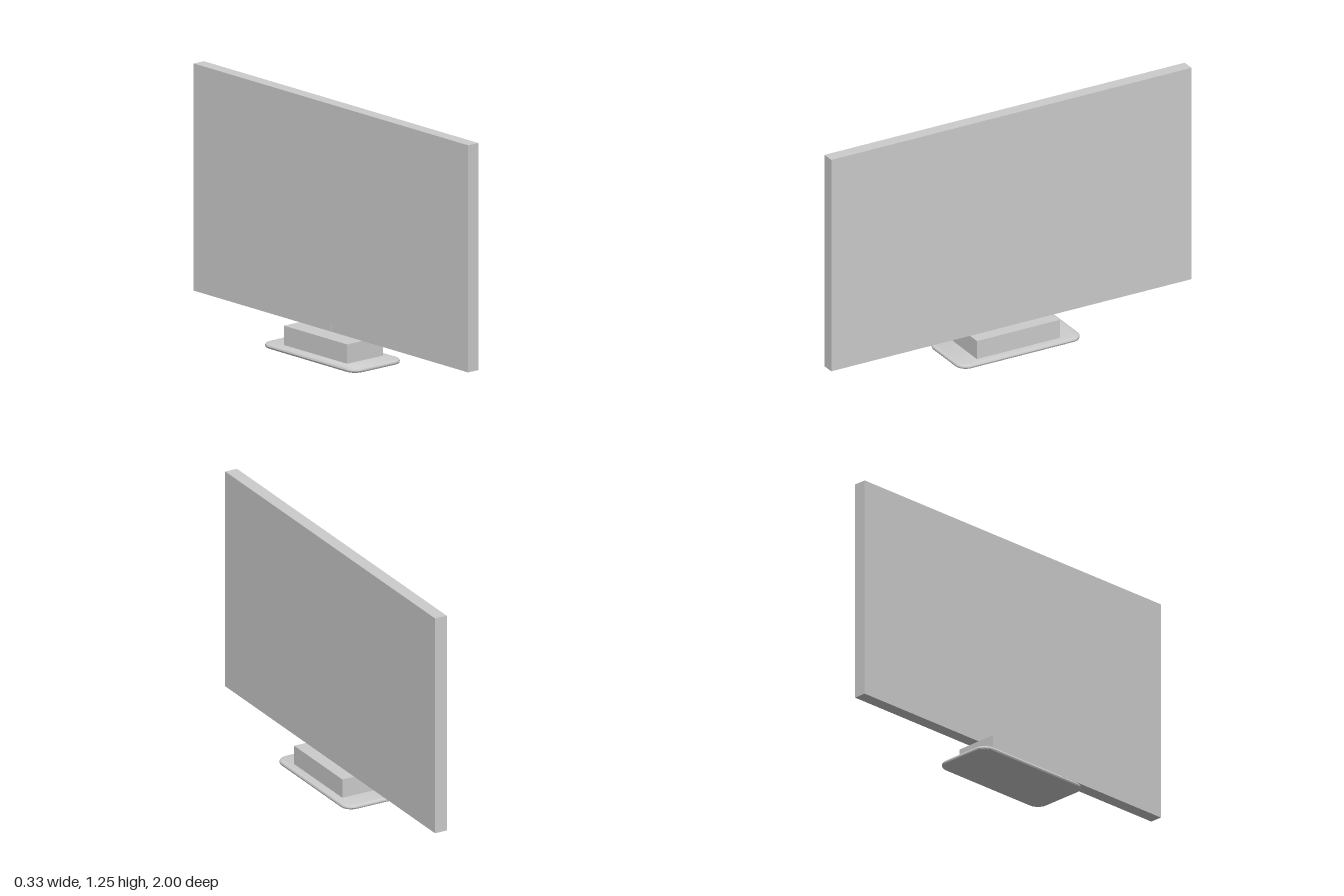
import * as THREE from 'three';
import { toCreasedNormals } from 'three/addons/utils/BufferGeometryUtils.js';

const grey = new THREE.MeshStandardMaterial({ color: 0xcccccc });
grey.name = 'light grey';

function addMesh(group, name, geometry) {
  const mesh = new THREE.Mesh(geometry, grey);
  mesh.name = name;
  group.add(mesh);
  return mesh;
}

// Box given by its lowest and highest corners
function addBox(group, name, [x0, y0, z0], [x1, y1, z1]) {
  const mesh = addMesh(group, name, new THREE.BoxGeometry(x1 - x0, y1 - y0, z1 - z0));
  mesh.position.set((x0 + x1) / 2, (y0 + y1) / 2, (z0 + z1) / 2);
}

// Rounded rectangle with half sizes w, h and corner radius r
function roundedRectangle(w, h, r) {
  const s = new THREE.Shape();
  s.absarc(w - r, h - r, r, 0, Math.PI / 2);
  s.absarc(-w + r, h - r, r, Math.PI / 2, Math.PI);
  s.absarc(-w + r, -h + r, r, Math.PI, Math.PI * 1.5);
  s.absarc(w - r, -h + r, r, Math.PI * 1.5, Math.PI * 2);
  s.closePath();
  return s;
}

export function createModel() {
  const model = new THREE.Group();
  model.name = 'flatScreen';

  // Foot plate with a rounded rim
  const foot = new THREE.ExtrudeGeometry(roundedRectangle(0.163, 0.342, 0.06), {
    depth: 0.002,
    bevelThickness: 0.01,
    bevelSize: 0.012,
    bevelOffset: -0.012,
    bevelSegments: 5,
    curveSegments: 10,
  });
  foot.rotateX(-Math.PI / 2).translate(0, 0.01, 0);
  addMesh(model, 'footPlate', toCreasedNormals(foot, 0.7));

  // Block between the foot and the screen
  addBox(model, 'standBlock', [-0.108, 0.018, -0.23], [0.121, 0.118, 0.23]);

  // Wide screen panel
  addBox(model, 'screenPanel', [-0.01, 0.118, -1], [0.055, 1.247, 1]);

  // Tiny indicator low on the panel face
  addBox(model, 'indicator', [-0.014, 0.125, -0.004], [-0.009, 0.158, 0.004]);

  return model;
}
